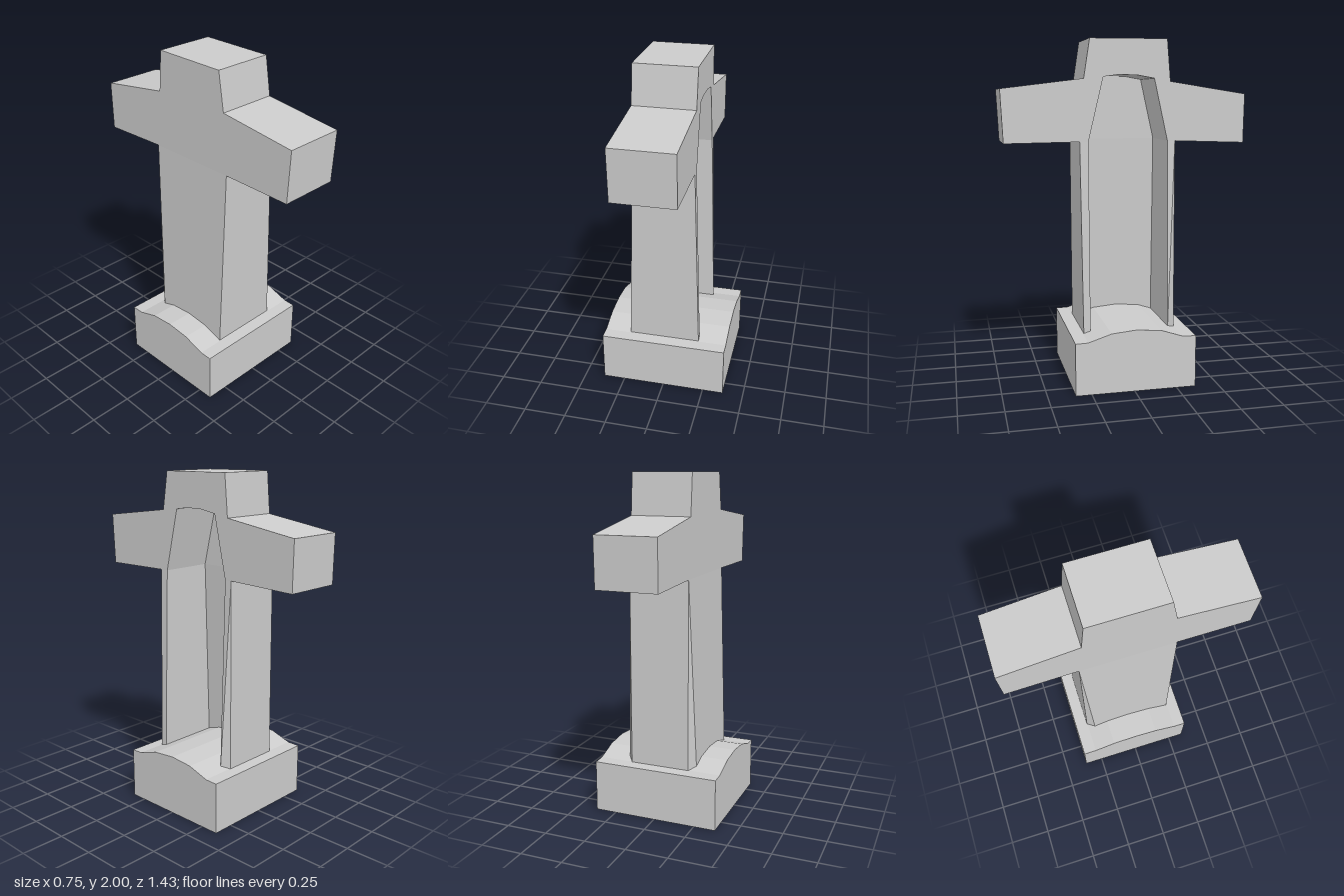
import * as THREE from 'three';
import { ConvexGeometry } from 'three/addons/geometries/ConvexGeometry.js';

const material = new THREE.MeshStandardMaterial({ color: 0xcccccc, flatShading: true });

function add(group, name, geometry) {
  const mesh = new THREE.Mesh(geometry, material);
  mesh.name = name;
  group.add(mesh);
}

// Side profile of [z, y] points, extruded along x from x0 to x1
function sideExtrude(points, x0, x1) {
  const shape = new THREE.Shape(points.map(([z, y]) => new THREE.Vector2(-z, y)));
  return new THREE.ExtrudeGeometry(shape, { depth: x1 - x0, bevelEnabled: false })
    .rotateY(Math.PI / 2)
    .translate(x0, 0, 0);
}

// Tapered block between two [x, z] outlines at different heights
function taperedBlock(bottom, top, y0, y1) {
  const at = (y) => ([x, z]) => new THREE.Vector3(x, y, z);
  return new ConvexGeometry([...bottom.map(at(y0)), ...top.map(at(y1))]);
}

export function createModel() {
  const group = new THREE.Group();
  const left = -0.185, right = 0.172;   // upper body sides
  const wallTop = -0.15, wallFoot = -0.185; // inner face of the niche wall
  const footY = 0.28, shoulderY = 1.42;

  // Plinth with a gently humped top
  add(group, 'plinth', sideExtrude([
    [0.343, 0], [0.343, 0.305], [0.27, 0.307], [0.135, 0.35], [-0.01, 0.363],
    [-0.155, 0.35], [-0.285, 0.307], [-0.363, 0.305], [-0.363, 0],
  ], -0.38, 0.375));

  // Head and arms, with the top of the niche cut out
  const arch = [[0.225, shoulderY], [0.138, 1.785], [0.05, 1.797], [-0.06, 1.795], [-0.16, 1.777], [-0.24, shoulderY]];
  add(group, 'headAndArms', sideExtrude([
    [0.275, shoulderY], [0.703, 1.415], [0.717, 1.717], [0.25, 1.775], [0.215, 1.997],
    [-0.235, 2], [-0.255, 1.76], [-0.71, 1.69], [-0.705, 1.405], [-0.285, shoulderY],
    ...[...arch].reverse(),
  ], left, right));
  add(group, 'upperNicheWall', sideExtrude(arch, left, wallTop));

  // Front pillar, widening towards its foot
  add(group, 'frontPillar', taperedBlock(
    [[0.206, 0.225], [0.206, 0.265], [-0.222, 0.265], [-0.222, 0.225]],
    [[right, 0.225], [right, 0.275], [left, 0.275], [left, 0.225]], footY, shoulderY));

  // Back pillar, straight behind with flared bevels beside the niche
  add(group, 'backPillar', taperedBlock(
    [[0.208, -0.24], [right, -0.288], [left, -0.288], [-0.222, -0.24]],
    [[right, -0.24], [right, -0.285], [left, -0.285], [left, -0.24]], footY, shoulderY));

  // Thin wall closing the niche on the right-hand side of the body
  add(group, 'lowerNicheWall', taperedBlock(
    [[-0.222, 0.225], [wallFoot, 0.225], [wallFoot, -0.24], [-0.222, -0.24]],
    [[left, 0.225], [wallTop, 0.225], [wallTop, -0.24], [left, -0.24]], footY, shoulderY));

  return group;
}
